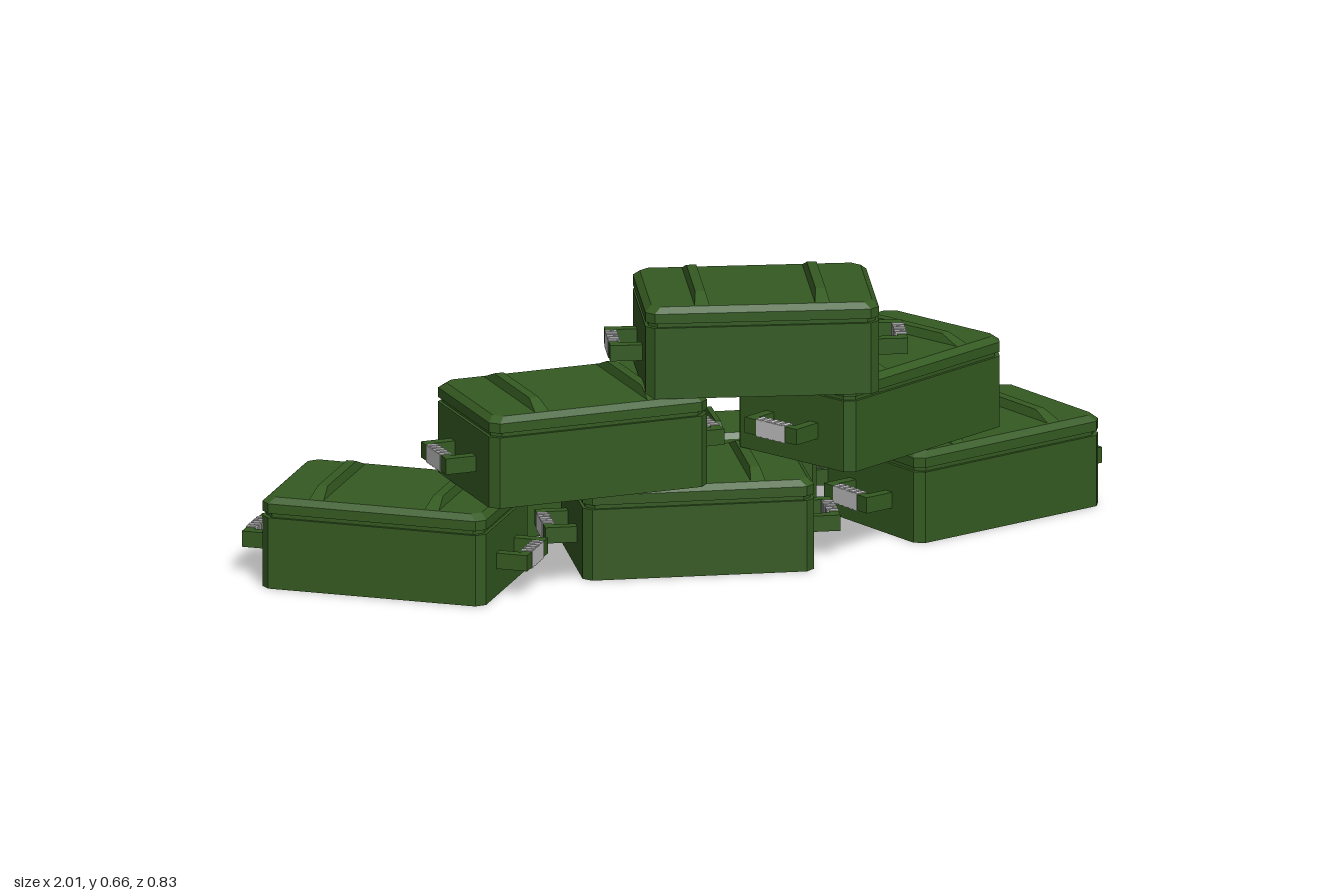
import * as THREE from 'three';

const green = new THREE.MeshStandardMaterial({ color: 0x345a21 });
green.name = 'olive green';
const grey = new THREE.MeshStandardMaterial({ color: 0xc6c6c8 });
grey.name = 'light grey metal';

const HX = 0.258, HZ = 0.171; // half length and half depth of a case

function add(parent, name, geometry, material, x = 0, y = 0, z = 0) {
  const mesh = new THREE.Mesh(geometry, material);
  mesh.name = name;
  mesh.position.set(x, y, z);
  parent.add(mesh);
}

// Flat-sided loft through rings (counterclockwise from above, bottom to top), closed at both ends
function loft(rings) {
  const pos = [];
  const tri = (a, b, c) => pos.push(...a, ...b, ...c);
  for (let r = 0; r < rings.length - 1; r++) {
    const lo = rings[r], hi = rings[r + 1], n = lo.length;
    for (let i = 0; i < n; i++) {
      const j = (i + 1) % n;
      tri(lo[i], lo[j], hi[j]);
      tri(lo[i], hi[j], hi[i]);
    }
  }
  const b = rings[0], t = rings[rings.length - 1];
  for (let i = 1; i < b.length - 1; i++) {
    tri(b[0], b[i + 1], b[i]);
    tri(t[0], t[i], t[i + 1]);
  }
  const g = new THREE.BufferGeometry();
  g.setAttribute('position', new THREE.Float32BufferAttribute(pos, 3));
  g.computeVertexNormals();
  return g;
}

// Case outline with cut corners at height y
function octagon([y, inset]) {
  const x = HX - inset, z = HZ - inset, cut = 0.019;
  return [
    [x - cut, y, z], [x, y, z - cut], [x, y, -z + cut], [x - cut, y, -z],
    [-x + cut, y, -z], [-x, y, -z + cut], [-x, y, z - cut], [-x + cut, y, z],
  ];
}

const rectangle = (y, x, z) => [[x, y, z], [x, y, -z], [-x, y, -z], [-x, y, z]];

// Body with a recessed neck, lid with a bevelled rim, rib with sloping ends
const bodyGeo = loft([[0, 0], [0.162, 0], [0.162, 0.007], [0.172, 0.007]].map(octagon));
const lidGeo = loft([[0.172, 0], [0.194, 0], [0.207, 0.014]].map(octagon));
const ribGeo = loft([rectangle(0.205, 0.017, 0.158), rectangle(0.2265, 0.011, 0.105)]);

// U-shaped bracket lying flat, with its open side against the case
function bracketGeometry() {
  const pts = [[-0.002, -0.076], [0.071, -0.076], [0.071, 0.076], [-0.002, 0.076],
    [-0.002, 0.052], [0.05, 0.052], [0.05, -0.052], [-0.002, -0.052]];
  const shape = new THREE.Shape(pts.map(([x, y]) => new THREE.Vector2(x, y)));
  const g = new THREE.ExtrudeGeometry(shape, { depth: 0.036, bevelEnabled: false });
  g.rotateX(-Math.PI / 2);
  g.translate(0, -0.018, 0);
  return g;
}
const bracketGeo = bracketGeometry();

function makeHandle() {
  const handle = new THREE.Group();
  handle.name = 'carryHandle';
  add(handle, 'handleBracket', bracketGeo, green);
  add(handle, 'gripCore', new THREE.BoxGeometry(0.024, 0.0375, 0.084), grey, 0.0605);
  // Finger ridges
  for (let i = -2; i <= 2; i++) {
    add(handle, 'gripRidge', new THREE.BoxGeometry(0.026, 0.0405, 0.011), grey, 0.059, 0, i * 0.0182);
  }
  return handle;
}

function makeLatch() {
  const latch = new THREE.Group();
  latch.name = 'latch';
  add(latch, 'latchPlate', new THREE.BoxGeometry(0.034, 0.02, 0.012), green, 0, 0.182, -0.003);
  add(latch, 'latchBase', new THREE.BoxGeometry(0.034, 0.026, 0.012), green, 0, 0.144, -0.003);
  add(latch, 'latchBuckle', new THREE.BoxGeometry(0.016, 0.036, 0.014), grey, 0, 0.163, -0.005);
  add(latch, 'latchPin', new THREE.BoxGeometry(0.036, 0.018, 0.017), grey, 0, 0.163, -0.006);
  return latch;
}

function makeCase(name) {
  const box = new THREE.Group();
  box.name = name;
  add(box, 'caseBody', bodyGeo, green);
  add(box, 'caseLid', lidGeo, green);
  for (const side of [-1, 1]) {
    add(box, 'lidRib', ribGeo, green, side * 0.133);
    const handle = makeHandle();
    handle.position.set(side * HX, 0.08, 0);
    handle.rotation.y = side > 0 ? 0 : Math.PI;
    box.add(handle);
  }
  const latch = makeLatch();
  latch.position.z = -HZ;
  box.add(latch);
  return box;
}

export function createModel() {
  const model = new THREE.Group();
  model.name = 'caseStack';
  // name, x, y, z, turn in degrees, scale across, scale up
  const layout = [
    ['bottomRightCase', -0.701, 0, -0.025, -39, 1, 1],
    ['bottomMiddleCase', -0.037, 0, 0.047, -12.6, 1, 1],
    ['bottomLeftCase', 0.665, 0, -0.08, 16.5, 1, 1],
    ['middleRightCase', -0.34, 0.229, 0.125, 0, 1, 1],
    ['middleLeftCase', 0.393, 0.229, 0.048, 27, 1, 1],
    ['topCase', 0.071, 0.436, 0.1825, -16.3, 1, 1],
    ['smallLowCase', -0.283, 0, -0.308, 5, 0.55, 0.55],
    ['smallTallCase', 0.211, 0, -0.23, -11, 0.55, 1],
  ];
  for (const [name, x, y, z, turn, across, up] of layout) {
    const box = makeCase(name);
    box.position.set(x, y, z);
    box.rotation.y = THREE.MathUtils.degToRad(turn);
    box.scale.set(across, up, across);
    model.add(box);
  }
  return model;
}
